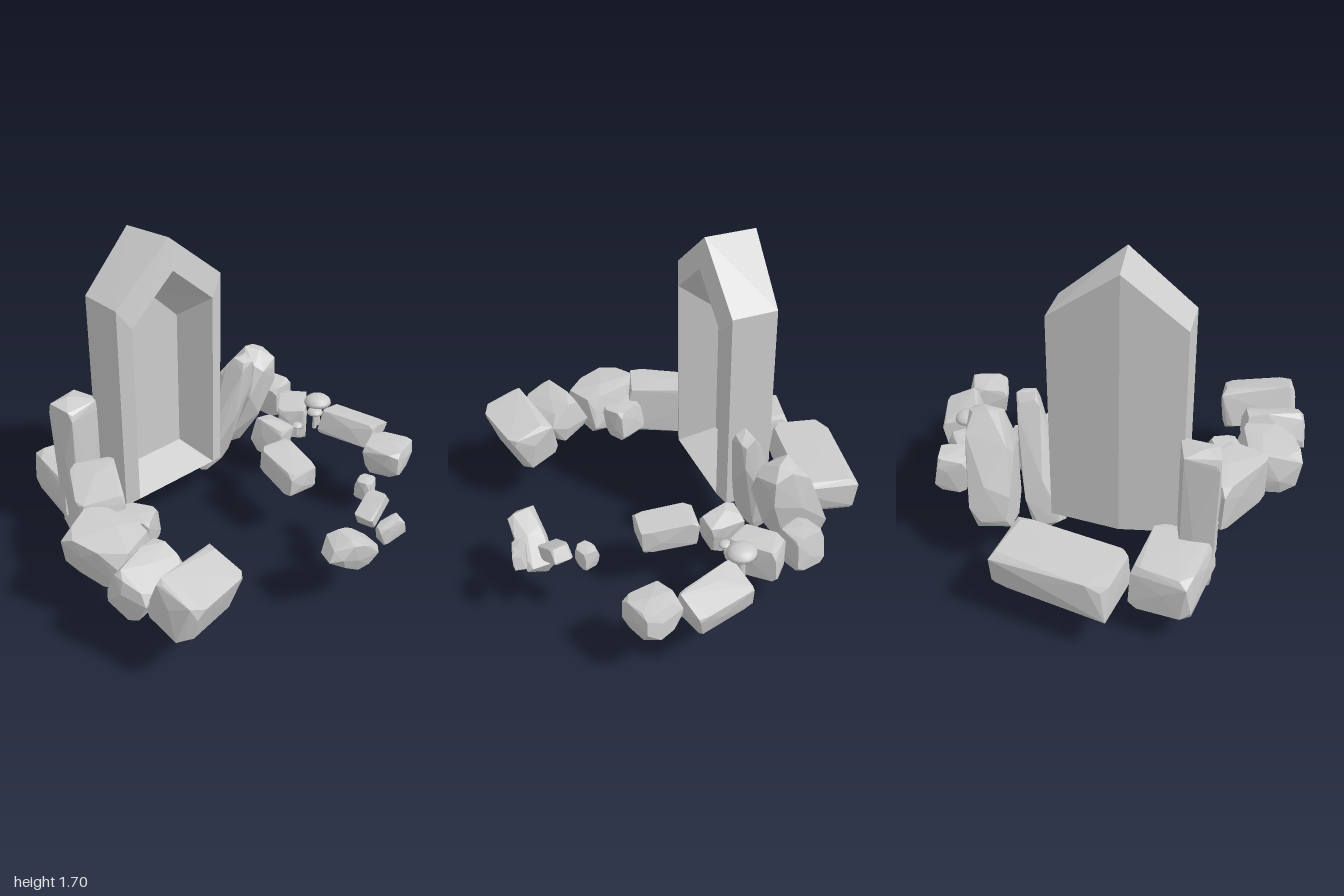
import * as THREE from 'three';
import { ConvexGeometry } from 'three/addons/geometries/ConvexGeometry.js';

const stone = new THREE.MeshStandardMaterial({ color: 0xcccccc, flatShading: true });
const smooth = new THREE.MeshStandardMaterial({ color: 0xcccccc });

// Small repeatable number generator, restarted for every rock
let seed = 1;
const rnd = () => (seed = (seed * 16807) % 2147483647) / 2147483647;
const jit = (a) => (rnd() - 0.5) * a;

// Chipped boulder: a box with cut corners and bulging faces, fitted to an exact size.
// bevel = how much of each corner is cut; top / bottom = narrowing towards that end.
function rock(name, pos, size, rot, { bevel = 0.38, top = 1, bottom = 1 } = {}) {
  seed = Math.round(1e6 * (3 + pos[0] + pos[2] * 0.7));
  const pts = [];
  for (const x of [-1, 1]) for (const y of [-1, 1]) for (const z of [-1, 1]) {
    for (let axis = 0; axis < 3; axis++) {
      const p = [x, y, z];
      p[axis] *= 1 - bevel * (0.5 + rnd());
      pts.push(new THREE.Vector3(...p.map((c) => c + jit(0.18))));
    }
  }
  for (let axis = 0; axis < 3; axis++) for (const s of [-1, 1]) {
    const p = [jit(0.7), jit(0.7), jit(0.7)];
    p[axis] = s * (1.02 + bevel * 0.25);
    pts.push(new THREE.Vector3(...p));
  }
  for (const p of pts) {
    const w = p.y > 0 ? 1 + (top - 1) * p.y : 1 + (1 - bottom) * p.y;
    p.x *= w;
    p.z *= w;
  }
  const box = new THREE.Box3().setFromPoints(pts);
  const centre = box.getCenter(new THREE.Vector3());
  const fit = new THREE.Vector3(...size).divide(box.getSize(new THREE.Vector3()));
  pts.forEach((p) => p.sub(centre).multiply(fit));
  const mesh = new THREE.Mesh(new ConvexGeometry(pts), stone);
  mesh.name = name;
  mesh.position.set(...pos);
  mesh.rotation.set(...rot, 'YXZ');
  return mesh;
}

// Pointed niche: house-shaped loops joined from the back to the recessed panel
function niche() {
  const loop = (x0, x1, y0, shoulder, apex, z, zMid = z, xm = -0.14) => [
    [x0, y0, z], [xm, y0, zMid], [x1, y0, z], [x1, shoulder, z], [xm, apex, zMid], [x0, shoulder, z],
  ];
  const loops = [
    loop(-0.465, 0.185, 0.335, 1.435, 1.695, -0.415, -0.462, -0.165), // back with a ridge
    loop(-0.465, 0.185, 0.335, 1.435, 1.71, -0.18),                   // outer frame edge
    loop(-0.395, 0.11, 0.355, 1.33, 1.55, -0.155),                    // opening
    loop(-0.325, 0.04, 0.435, 1.19, 1.37, -0.35),                     // recessed panel
  ];
  const v = [];
  const tri = (a, b, c) => v.push(...a, ...b, ...c);
  for (let k = 0; k < 3; k++) for (let i = 0; i < 6; i++) {
    const j = (i + 1) % 6, A = loops[k], B = loops[k + 1];
    tri(A[i], A[j], B[j]);
    tri(A[i], B[j], B[i]);
  }
  const back = loops[0], panel = loops[3];
  for (let i = 1; i < 5; i++) tri(panel[0], panel[i], panel[i + 1]);
  for (const [a, b, c] of [[0, 5, 4], [0, 4, 1], [1, 4, 3], [1, 3, 2]]) tri(back[a], back[b], back[c]);
  const g = new THREE.BufferGeometry();
  g.setAttribute('position', new THREE.Float32BufferAttribute(v, 3));
  g.computeVertexNormals();
  const mesh = new THREE.Mesh(g, stone);
  mesh.name = 'niche';
  return mesh;
}

// Mushroom: domed cap with a hollow underside on a thin stem
function mushroom(x, z, topY, r) {
  const group = new THREE.Group();
  group.name = 'mushroom';
  const h = r * 0.6, base = 0.4;
  const profile = [[0.2, 0.35], [0.75, 0.1], [1, 0], [0.93, 0.4], [0.7, 0.75], [0.38, 0.95], [0, 1]]
    .map(([a, b]) => new THREE.Vector2(a * r, b * h));
  const cap = new THREE.Mesh(new THREE.LatheGeometry(profile, 20), smooth);
  cap.name = 'mushroomCap';
  cap.position.set(x, topY - h, z);
  const len = topY - h * 0.6 - base;
  const stem = new THREE.Mesh(new THREE.CylinderGeometry(r * 0.2, r * 0.28, len, 10), smooth);
  stem.name = 'mushroomStem';
  stem.position.set(x, base + len / 2, z);
  group.add(cap, stem);
  return group;
}

export function createModel() {
  const model = new THREE.Group();
  model.name = 'ruinedShrine';
  model.add(niche());

  // Low boulders behind the niche
  model.add(
    rock('backBoulder', [0.045, 0.31, -0.765], [0.61, 0.2, 0.33], [-0.05, -0.2, 0.02], { bevel: 0.2 }),
    rock('backBoulder', [-0.465, 0.28, -0.635], [0.31, 0.23, 0.41], [0.03, -0.16, 0], { bevel: 0.25 }),
  );

  // Upright slabs beside the niche, one with a splinter at its foot
  model.add(
    rock('standingSlab', [-0.55, 0.47, -0.455], [0.2, 0.84, 0.17], [-0.02, 0.1, 0], { bevel: 0.18, bottom: 0.8 }),
    rock('slabSplinter', [-0.51, 0.15, -0.49], [0.1, 0.28, 0.06], [-0.06, 0.1, 0.1], { bottom: 0.2 }),
    rock('slabSplinter', [-0.6, 0.24, -0.385], [0.08, 0.34, 0.05], [0.1, 0.1, 0], { bottom: 0.2 }),
    rock('leaningSlab', [0.285, 0.55, -0.265], [0.2, 0.73, 0.19], [0.27, 0.15, -0.17], { bevel: 0.3, top: 0.5, bottom: 0.75 }),
    rock('leaningSlab', [0.5, 0.54, -0.355], [0.25, 0.62, 0.31], [0.36, 0.08, -0.15], { bevel: 0.4, top: 0.6, bottom: 0.75 }),
  );

  // Arc of rocks on the right
  model.add(
    rock('rightArcRock', [-0.65, 0.46, -0.16], [0.24, 0.29, 0.39], [0, -0.48, 0.05], { bevel: 0.25 }),
    rock('rightArcRock', [-0.82, 0.45, 0.135], [0.29, 0.25, 0.36], [0.1, 0.3, 0.08], { bevel: 0.45 }),
    rock('rightArcRock', [-0.61, 0.44, 0.09], [0.15, 0.18, 0.2], [0, 0.5, 0.1]),
    rock('rightArcRock', [-0.82, 0.445, 0.43], [0.34, 0.21, 0.22], [0.4, 0.25, 0.05], { bevel: 0.42 }),
    rock('rightArcRock', [-0.72, 0.45, 0.655], [0.41, 0.23, 0.24], [0.32, 0.18, -0.08], { bevel: 0.28 }),
  );

  // Arc of rocks on the left
  model.add(
    rock('leftArcRock', [0.725, 0.46, -0.32], [0.17, 0.2, 0.17], [0, 0.2, 0.1]),
    rock('leftArcRock', [0.68, 0.44, -0.11], [0.25, 0.19, 0.16], [0, 0.75, 0], { bevel: 0.3 }),
    rock('leftArcRock', [0.44, 0.43, -0.035], [0.14, 0.2, 0.2], [0.1, 0.1, -0.2], { bevel: 0.45 }),
    rock('leftArcRock', [0.85, 0.42, 0.19], [0.2, 0.15, 0.33], [0.03, 0.27, -0.3], { bevel: 0.2 }),
    rock('leftArcRock', [0.805, 0.405, 0.48], [0.22, 0.17, 0.22], [0, 0.3, 0.1], { bevel: 0.5 }),
  );

  // Loose stones in front
  model.add(
    rock('looseStone', [0.315, 0.405, 0.21], [0.18, 0.15, 0.31], [0.06, -0.18, 0], { bevel: 0.25 }),
    rock('looseStone', [0.41, 0.47, 0.655], [0.1, 0.11, 0.09], [0, 0.3, 0], { bevel: 0.5 }),
    rock('looseStone', [0.315, 0.455, 0.78], [0.17, 0.08, 0.1], [0, 0.2, 0.5], { bevel: 0.2 }),
    rock('looseStone', [0.26, 0.45, 0.94], [0.14, 0.11, 0.07], [0, -0.25, 0.3]),
    rock('looseStone', [0.09, 0.36, 0.84], [0.34, 0.17, 0.16], [0.2, -0.05, -0.65], { bevel: 0.6 }),
  );

  model.add(mushroom(0.75, 0.01, 0.585, 0.075), mushroom(0.71, 0.03, 0.525, 0.045), mushroom(0.585, 0.015, 0.475, 0.032));
  return model;
}
